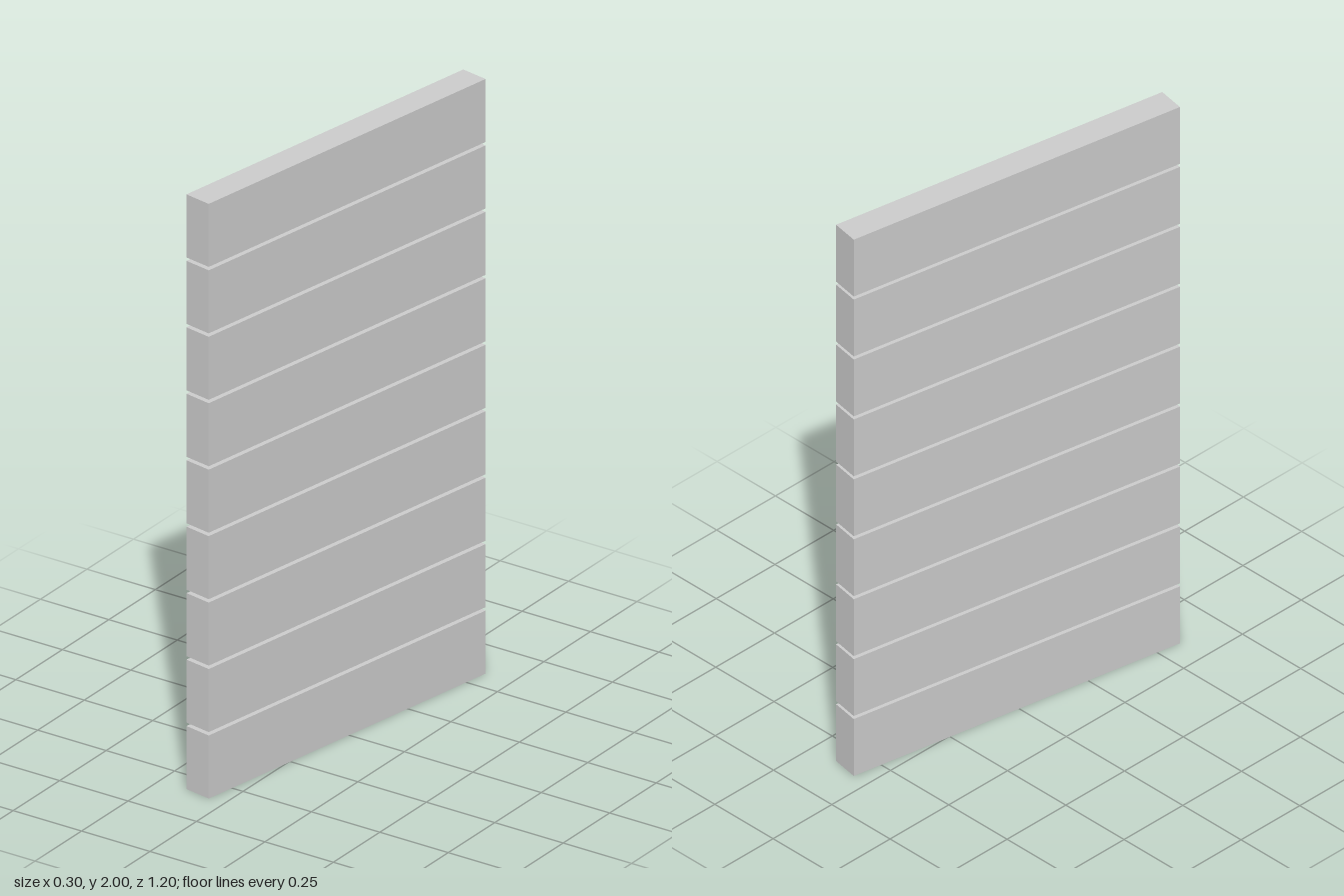
import * as THREE from 'three';

export function createModel() {
  const model = new THREE.Group();
  model.name = 'slattedPanel';

  const count = 9, height = 0.212, pitch = (2 - height) / (count - 1);
  const material = new THREE.MeshStandardMaterial({ color: 0xcccccc, flatShading: true });
  const board = new THREE.BoxGeometry(0.094, height, 1.2);

  // Stack of separate horizontal boards with narrow open gaps
  const boards = new THREE.Group();
  boards.name = 'boards';
  for (let i = 0; i < count; i++) {
    const mesh = new THREE.Mesh(board, material);
    mesh.name = `board${i + 1}`;
    mesh.position.y = height / 2 + i * pitch;
    boards.add(mesh);
  }

  // The whole panel is turned slightly about the vertical
  boards.rotation.y = THREE.MathUtils.degToRad(-10);
  model.add(boards);
  return model;
}
